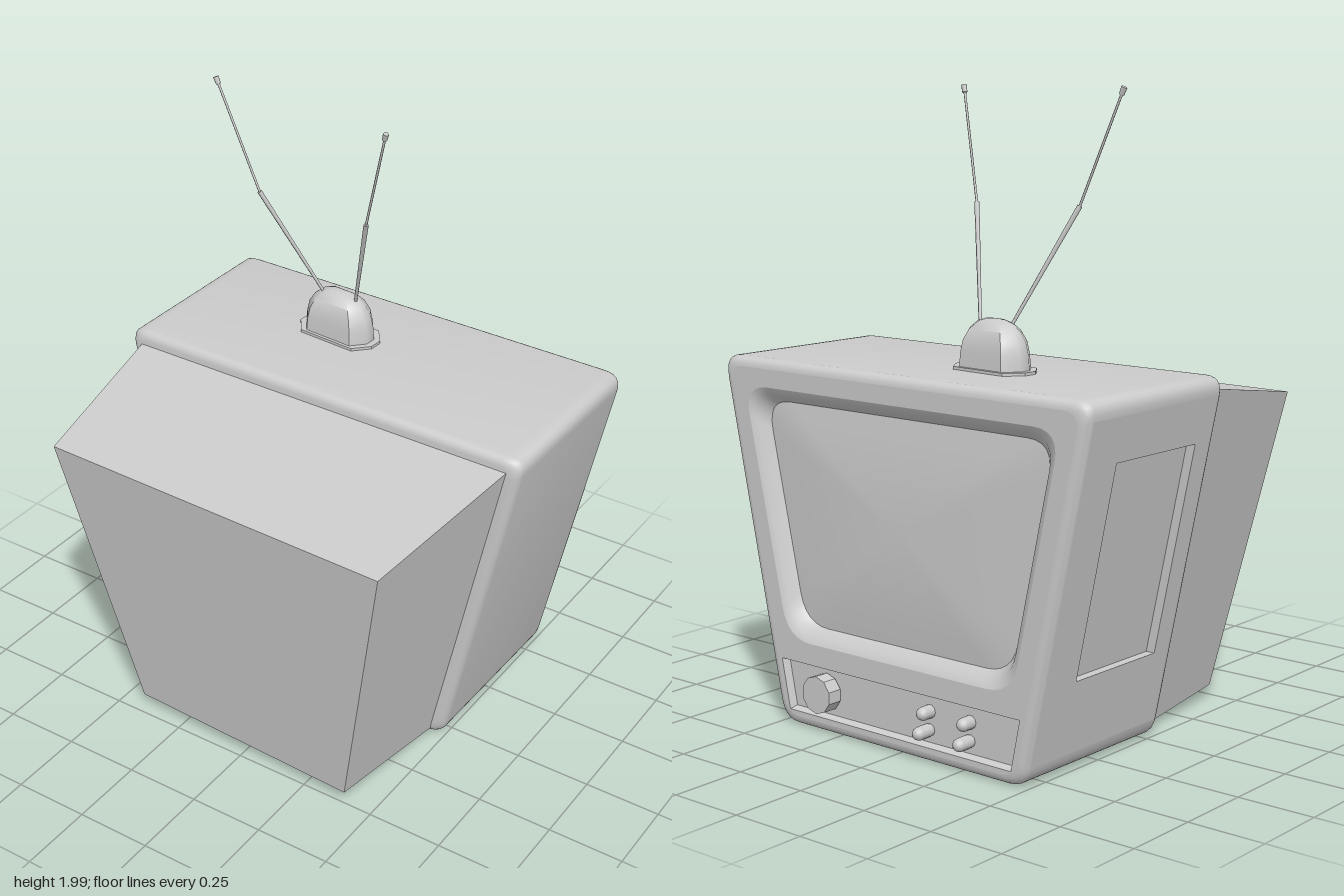
import * as THREE from 'three';
import { toCreasedNormals } from 'three/addons/utils/BufferGeometryUtils.js';

const V = (x, y, z) => new THREE.Vector3(x, y, z);
const material = new THREE.MeshStandardMaterial({ color: 0xcccccc });

function add(parent, name, geometry) {
  const mesh = new THREE.Mesh(geometry, material);
  mesh.name = name;
  parent.add(mesh);
  return mesh;
}

// Skin a list of closed rings; skip(i, j) leaves out single quads
function loft(rings, crease = 0.6, skip = () => false) {
  const pos = [];
  const tri = (...pts) => {
    const area = pts[1].clone().sub(pts[0]).cross(pts[2].clone().sub(pts[0])).length();
    if (area > 1e-9) pts.forEach((p) => pos.push(p.x, p.y, p.z));
  };
  for (let i = 0; i < rings.length - 1; i++) {
    const n = rings[i].length;
    for (let j = 0; j < n; j++) {
      if (skip(i, j)) continue;
      const k = (j + 1) % n;
      const a = rings[i][j], b = rings[i][k], c = rings[i + 1][j], d = rings[i + 1][k];
      tri(a, c, b);
      tri(b, c, d);
    }
  }
  const g = new THREE.BufferGeometry();
  g.setAttribute('position', new THREE.Float32BufferAttribute(pos, 3));
  return toCreasedNormals(g, crease);
}

// Ring shrunk towards its middle, moved along z
function shrink(ring, s, dz = 0) {
  const c = ring.reduce((sum, p) => sum.add(p), V(0, 0, 0)).divideScalar(ring.length);
  return ring.map((p) => p.clone().sub(c).multiplyScalar(s).add(c).add(V(0, 0, dz)));
}

// Trapezoid ring, evenly inset, with rounded corners
function trapezoid([hb, ht, y0, y1], z, inset = 0, r = 0) {
  const m = (ht - hb) / (y1 - y0), w = inset * Math.hypot(1, m);
  const b = hb + m * inset - w, t = ht - m * inset - w;
  const c = [V(-b, y0 + inset, z), V(b, y0 + inset, z), V(t, y1 - inset, z), V(-t, y1 - inset, z)];
  if (!r) return c;
  return c.flatMap((p, i) => {
    const toward = (q) => q.clone().sub(p).setLength(r).add(p);
    return new THREE.QuadraticBezierCurve3(toward(c[(i + 3) % 4]), p, toward(c[(i + 1) % 4])).getPoints(6);
  });
}

const BODY = [0.495, 0.74, 0.005, 1.157];
const SCREEN = [0.46, 0.635, 0.28, 1.07];
const PANEL = [0.455, 0.488, 0.052, 0.212];
const FRONT = -0.592, REAR = 0.06, EDGE = 0.03;

function buildCabinet(parent) {
  // Rounded shell from the rear rim to the screen face
  const rings = [];
  const rounded = (z, dir, t) => trapezoid(BODY, z + dir * EDGE * (1 - Math.sin(t)), EDGE * (1 - Math.cos(t)), 0.06);
  const steps = [0, 1, 2, 3, 4, 5].map((i) => i * Math.PI / 10);
  steps.slice().reverse().forEach((t) => rings.push(rounded(REAR, -1, t)));
  steps.forEach((t) => rings.push(rounded(FRONT, 1, t)));
  const last = rings[0].length - 1;
  rings.unshift(shrink(rings[0], 0));
  add(parent, 'cabinetShell', loft(rings, 0.7, (i, j) => i === 6 && j === last));

  // Side wall with its sunken rectangular panel
  const [hb, ht, y0, y1] = BODY;
  const wall = (y, z, depth) => V(-(hb + (ht - hb) * (y - y0) / (y1 - y0)) + depth, y, z);
  const frame = (top, bottom, za, zb, depth = 0) =>
    [wall(top, za, depth), wall(top, zb, depth), wall(bottom, zb, depth), wall(bottom, za, depth)];
  const top = rings[6][last].y, bottom = rings[6][0].y;
  const sunk = frame(0.96, 0.3, -0.42, -0.04, 0.03);
  add(parent, 'sidePanel', loft([
    frame(top, bottom, FRONT + EDGE, REAR - EDGE),
    frame(0.96, 0.3, -0.42, -0.04), sunk, shrink(sunk, 0),
  ]));

  // Screen face with openings for the tube and the controls
  const flat = (ring) => ring.map((p) => new THREE.Vector2(p.x, p.y));
  const shape = new THREE.Shape(flat(rings[rings.length - 1]));
  shape.holes.push(new THREE.Path(flat(trapezoid(SCREEN, 0, 0, 0.1))));
  shape.holes.push(new THREE.Path(flat(trapezoid(PANEL, 0))));
  add(parent, 'face', new THREE.ShapeGeometry(shape).rotateY(Math.PI).translate(0, 0, FRONT));

  // Sloping bezel and bulging glass
  const glass = trapezoid(SCREEN, FRONT + 0.045, 0.045, 0.1);
  add(parent, 'bezel', loft([
    trapezoid(SCREEN, FRONT, 0, 0.1), trapezoid(SCREEN, FRONT + 0.012, 0.022, 0.1), glass,
  ]));
  add(parent, 'screen', loft([1, 0.8, 0.6, 0.4, 0.2, 0].map((s) => shrink(glass, s, -0.025 * (1 - s * s)))));

  // Sunken control strip
  const strip = trapezoid(PANEL, FRONT + 0.025, 0.008);
  add(parent, 'controlStrip', loft([trapezoid(PANEL, FRONT), strip, shrink(strip, 0)]));
}

function buildRearCasing(parent) {
  // Tapered tube housing with a leaning end wall
  const base = trapezoid([0.455, 0.687, 0.025, 1.113], 0.05);
  const end = trapezoid([0.41, 0.605, 0.05, 1.028], 0);
  end.forEach((p, i) => { p.z = (i > 1 ? 0.615 : 0.485) + Math.sign(p.x) * 0.013; });
  const rings = [base, end].map((r) => r.slice());
  const g = loft([[...rings[1]].map((p) => p.clone()), rings[0]], 0.1);
  add(parent, 'rearCasing', g);
  add(parent, 'rearEnd', loft([shrink(end, 0), end], 0.3));
}

function buildControls(parent) {
  const dial = new THREE.CylinderGeometry(0.06, 0.06, 0.05, 10).rotateX(Math.PI / 2);
  add(parent, 'tuningDial', toCreasedNormals(dial, 0.3)).position.set(0.31, 0.132, FRONT - 0.004);
  for (const x of [-0.12, -0.28]) {
    for (const [y, tip] of [[0.157, -0.62], [0.1, -0.638]]) {
      const knob = new THREE.CapsuleGeometry(0.021, 0.04, 4, 10).rotateX(Math.PI / 2);
      add(parent, 'knob', knob).position.set(x, y, tip + 0.041);
    }
  }
}

// Straight tapered rod between two points
function rod(parent, name, a, b, ra, rb) {
  const g = new THREE.CylinderGeometry(rb, ra, a.distanceTo(b), 6);
  const mesh = add(parent, name, g);
  mesh.position.copy(a).lerp(b, 0.5);
  mesh.quaternion.setFromUnitVectors(V(0, 1, 0), b.clone().sub(a).normalize());
}

function buildAntenna(parent) {
  const mount = new THREE.Group();
  mount.name = 'antennaMount';
  mount.position.set(-0.145, 1.15, -0.302);
  mount.rotation.y = -0.08;
  parent.add(mount);
  // Eight-sided ring: long sides along x, narrow ends
  const oct = (a, c, y) => [[1, 0.3], [0.7, 1], [-0.7, 1], [-1, 0.3], [-1, -0.3], [-0.7, -1], [0.7, -1], [1, -0.3]]
    .map(([u, w]) => V(u * a, y, w * c));
  add(mount, 'antennaPlate', loft([oct(0.146, 0.075, 0), oct(0.146, 0.075, 0.016), oct(0, 0, 0.016)]));
  const profile = [[0.125, 0.065, 0.01], [0.121, 0.062, 0.06], [0.112, 0.057, 0.098],
    [0.092, 0.045, 0.13], [0.065, 0.028, 0.152], [0.035, 0.012, 0.162], [0, 0, 0.164]];
  add(mount, 'antennaDome', loft(profile.map((p) => oct(...p)), 0.75));

  // Two-stage aerials with small tips
  const arms = [
    [V(-0.195, 1.28, -0.298), V(-0.37, 1.65, -0.182), V(-0.527, 1.985, -0.187)],
    [V(-0.085, 1.28, -0.298), V(0.03, 1.645, -0.178), V(0.135, 1.985, -0.112)],
  ];
  for (const [a, b, c] of arms) {
    rod(parent, 'aerialLower', a, b, 0.005, 0.008);
    rod(parent, 'aerialUpper', b, c, 0.004, 0.004);
    const dir = c.clone().sub(b).normalize();
    rod(parent, 'aerialTip', c.clone().addScaledVector(dir, -0.012), c.clone().addScaledVector(dir, 0.012), 0.008, 0.009);
  }
}

export function createModel() {
  const model = new THREE.Group();
  model.name = 'television';
  const cabinet = new THREE.Group();
  cabinet.name = 'cabinet';
  cabinet.rotation.y = -0.011;
  model.add(cabinet);
  buildCabinet(cabinet);
  buildRearCasing(cabinet);
  buildControls(cabinet);
  buildAntenna(model);
  return model;
}
